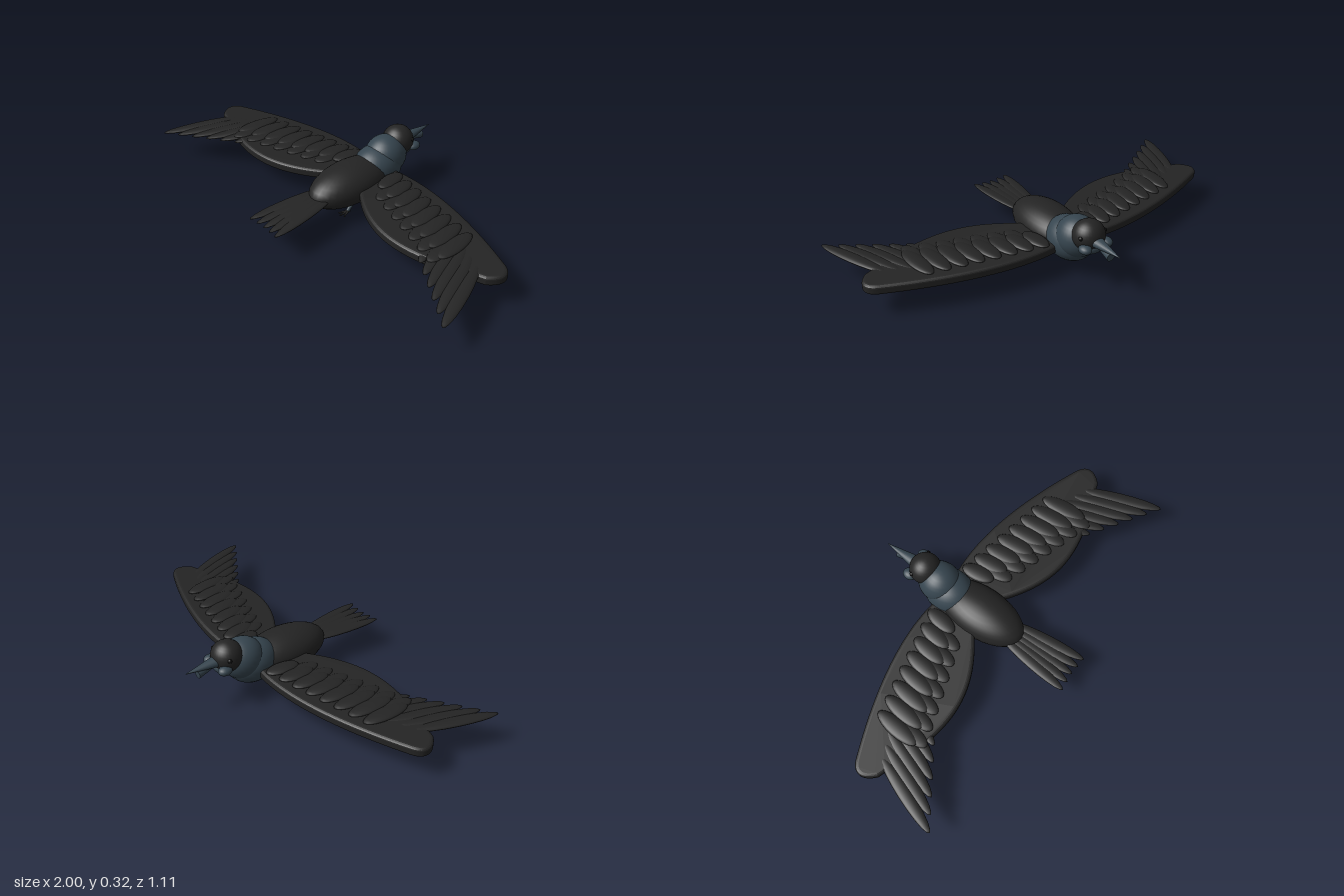
import * as THREE from 'three';

const black = new THREE.MeshStandardMaterial({ color: 0x242424 });
black.name = 'black plumage';
const slate = new THREE.MeshStandardMaterial({ color: 0x36454f });
slate.name = 'slate blue';
const ink = new THREE.MeshStandardMaterial({ color: 0x0c0c0c });
ink.name = 'eye black';

export function createModel() {
  const bird = new THREE.Group();
  bird.name = 'bird';

  const add = (name, geo, mat, parent = bird) => {
    const m = new THREE.Mesh(geo, mat);
    m.name = name;
    parent.add(m);
    return m;
  };
  const ellipsoid = (name, mat, center, radii, parent = bird, seg = 32) => {
    const m = add(name, new THREE.SphereGeometry(1, seg, seg / 2), mat, parent);
    m.position.set(...center);
    m.scale.set(...radii);
    return m;
  };
  // Flat oval feather lying between a root and a tip
  const feather = (name, root, tip, width, thick, parent) => {
    const a = new THREE.Vector3(...root), b = new THREE.Vector3(...tip);
    const mid = a.clone().add(b).multiplyScalar(0.5);
    const m = ellipsoid(name, black, mid.toArray(), [width, thick, a.distanceTo(b) / 2], parent, 20);
    m.lookAt(b);
    return m;
  };
  // Round rod from a to b, with its own end radii
  const rod = (name, mat, a, b, ra, rb, parent = bird) => {
    const va = new THREE.Vector3(...a), vb = new THREE.Vector3(...b);
    const dir = vb.clone().sub(va);
    const m = add(name, new THREE.CylinderGeometry(rb, ra, dir.length(), 20), mat, parent);
    m.position.copy(va).addScaledVector(dir, 0.5);
    m.quaternion.setFromUnitVectors(new THREE.Vector3(0, 1, 0), dir.normalize());
    return m;
  };

  // Body, chest, neck and head
  ellipsoid('body', black, [0, 0.145, 0], [0.13, 0.1, 0.245]);
  ellipsoid('chest', slate, [0, 0.16, -0.19], [0.112, 0.104, 0.133]).rotation.x = -0.12;
  ellipsoid('neck', slate, [0, 0.197, -0.245], [0.102, 0.103, 0.11]);
  ellipsoid('head', black, [0, 0.247, -0.332], [0.08, 0.077, 0.078]);
  ellipsoid('throat', slate, [0, 0.2, -0.355], [0.06, 0.035, 0.05]);

  // Beak: long upper bill and a flared lower bill
  rod('upperBeak', slate, [0, 0.238, -0.385], [0, 0.24, -0.562], 0.036, 0.001).scale.z = 0.75;
  rod('lowerBeak', slate, [0, 0.222, -0.38], [0, 0.212, -0.498], 0.003, 0.022);

  // Tail fan
  const tail = new THREE.Group();
  tail.name = 'tail';
  bird.add(tail);
  for (let i = -2; i <= 2; i++) {
    feather('tailFeather', [i * 0.021, 0.15, 0.15], [i * 0.046, 0.14 + 0.002 * Math.abs(i), 0.54 + 0.004 * Math.abs(i)],
      0.03, 0.01, tail);
  }

  for (const s of [1, -1]) {
    const side = s > 0 ? 'left' : 'right';
    const wing = new THREE.Group();
    wing.name = side + 'Wing';
    bird.add(wing);

    // Wing slab with rounded rim
    const o = new THREE.Shape();
    o.moveTo(s * 0.05, -0.19);
    o.bezierCurveTo(s * 0.3, -0.245, s * 0.62, -0.16, s * 0.91, -0.035);
    o.bezierCurveTo(s * 0.975, -0.01, s * 0.965, 0.03, s * 0.92, 0.07);
    o.bezierCurveTo(s * 0.86, 0.09, s * 0.75, 0.13, s * 0.65, 0.16);
    o.bezierCurveTo(s * 0.45, 0.205, s * 0.3, 0.165, s * 0.13, 0.035);
    o.lineTo(s * 0.05, 0.0);
    const slab = new THREE.ExtrudeGeometry(o, {
      depth: 0.022, bevelEnabled: true, bevelThickness: 0.013, bevelSize: 0.018, bevelSegments: 4, curveSegments: 24,
    });
    slab.rotateX(Math.PI / 2).translate(0, 0.152, 0);
    add('wingPanel', slab, black, wing);

    // Overlapping coverts across the top of the wing
    for (let i = 0; i < 8; i++) {
      const x = 0.155 + i * 0.078, z = -0.125 + i * 0.021, h = 0.085 + i * 0.005;
      feather('covert', [s * (x - 0.012), 0.166, z - h], [s * (x + 0.012), 0.17, z + h], 0.042, 0.013, wing);
      if (i > 0) {
        feather('lowerCovert', [s * (x - 0.025), 0.163, z - 0.03],
          [s * (x - 0.01), 0.165, z + h + 0.045], 0.04, 0.011, wing);
      }
    }

    // Long flight feathers fanning from the wing tip
    for (let i = 0; i < 6; i++) {
      const tx = 0.995 - i * 0.066, tz = 0.43 - i * 0.044;
      feather('flightFeather', [s * (tx - 0.15 + i * 0.007), 0.16, tz - 0.4 + i * 0.016],
        [s * tx, 0.154, tz], 0.033, 0.012, wing);
    }

    // Cheek and eye
    ellipsoid(side + 'Cheek', slate, [s * 0.06, 0.215, -0.385], [0.03, 0.022, 0.036], bird, 20);
    ellipsoid(side + 'Eye', ink, [s * 0.068, 0.263, -0.362], [0.011, 0.011, 0.011], bird, 16);

    // Leg and toes
    const leg = new THREE.Group();
    leg.name = side + 'Leg';
    bird.add(leg);
    rod('shank', slate, [s * 0.042, 0.06, 0.01], [s * 0.042, 0.014, 0.055], 0.013, 0.009, leg);
    for (const t of [-1, 0, 1]) {
      rod('toe', black, [s * 0.042, 0.012, 0.05], [s * 0.042 + t * 0.02, 0.011, 0.108 - 0.012 * Math.abs(t)],
        0.007, 0.003, leg);
    }
    rod('hindToe', black, [s * 0.042, 0.012, 0.06], [s * 0.042, 0.006, 0.04], 0.007, 0.005, leg);
  }
  return bird;
}
